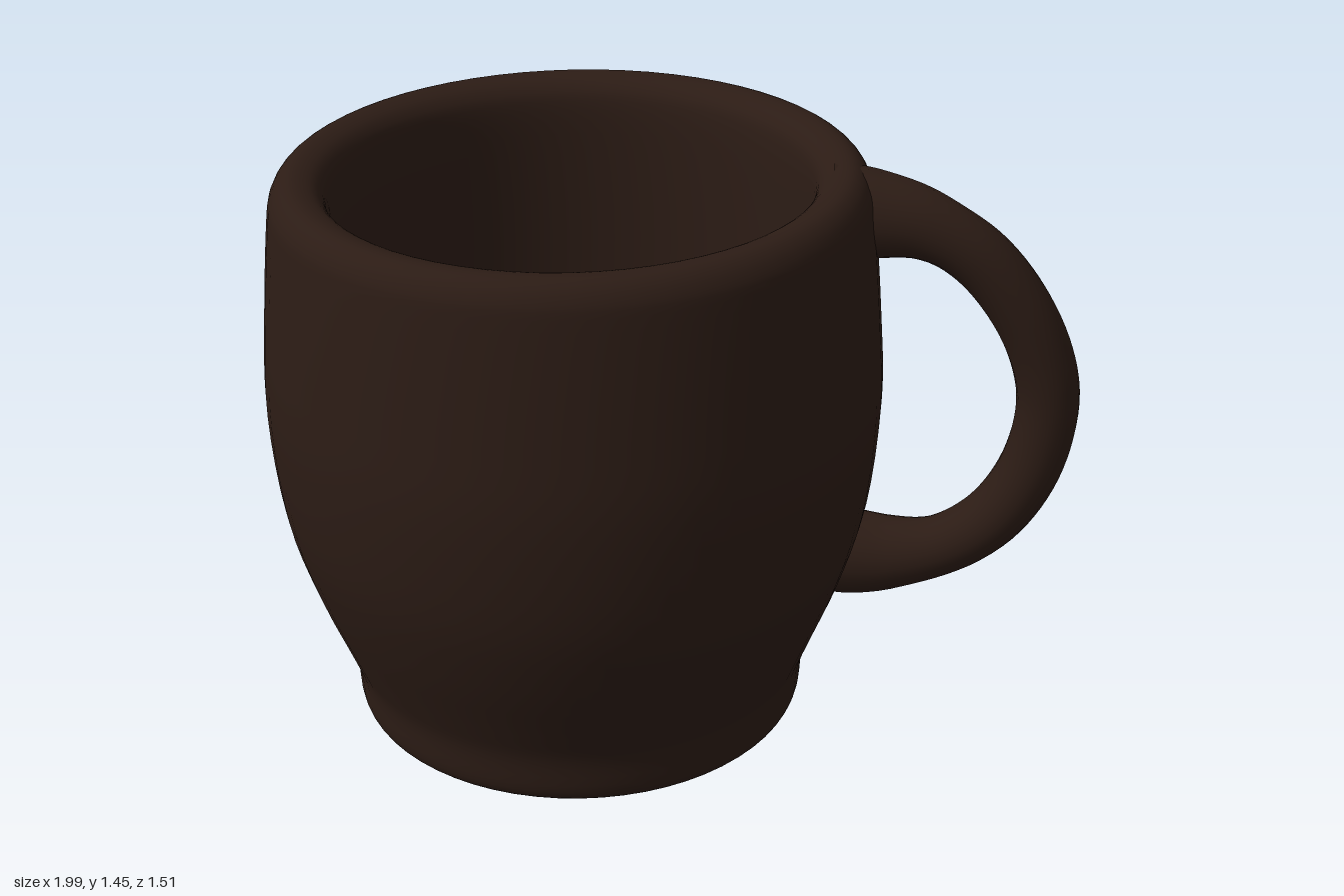
import * as THREE from 'three';

const CENTER_X = -0.24;
const pts = (list) => list.map(([x, y]) => new THREE.Vector2(x, y));

export function createModel() {
  const group = new THREE.Group();
  group.name = 'mug';
  const material = new THREE.MeshStandardMaterial({ color: 0x2c1c15 });

  // Body: outer wall from the foot up, over the thick rim, down to the inner floor
  const outline = new THREE.SplineCurve(pts([
    [0.5, 0.005], [0.545, 0.012], [0.568, 0.045], [0.578, 0.14], [0.61, 0.23], [0.675, 0.4],
    [0.73, 0.6], [0.755, 0.86], [0.745, 1.08], [0.722, 1.34], [0.708, 1.41], [0.675, 1.445],
    [0.635, 1.447], [0.597, 1.425], [0.578, 1.37], [0.575, 1.2], [0.58, 0.8], [0.575, 0.4],
    [0.568, 0.22], [0.545, 0.17], [0.5, 0.155],
  ])).getPoints(80);
  const profile = [new THREE.Vector2(0, 0.005), ...outline, new THREE.Vector2(0, 0.155)];
  const bodyGeometry = new THREE.LatheGeometry(profile, 64);

  // Slight hand-made unevenness of the rim, lifted where the handle joins
  const p = bodyGeometry.attributes.position;
  for (let i = 0; i < p.count; i++) {
    const x = p.getX(i), y = p.getY(i), z = p.getZ(i);
    const high = THREE.MathUtils.smoothstep(y, 0.9, 1.45);
    p.setY(i, y + 0.012 * x * high);
  }
  const body = new THREE.Mesh(bodyGeometry, material);
  body.name = 'body';
  body.position.x = CENTER_X;
  group.add(body);

  // Handle: round tube swelling where it meets the wall
  const path = new THREE.CatmullRomCurve3([
    [0.37, 1.345, -0.02], [0.47, 1.335, -0.02], [0.6, 1.31, -0.02], [0.73, 1.235, -0.015],
    [0.84, 1.1, -0.012], [0.905, 0.95, -0.015], [0.92, 0.83, -0.018], [0.885, 0.66, -0.02],
    [0.8, 0.52, -0.022], [0.68, 0.435, -0.025], [0.55, 0.405, -0.03], [0.45, 0.405, -0.03],
    [0.37, 0.415, -0.03],
  ].map((v) => new THREE.Vector3(...v)));
  const SEGMENTS = 64, SIDES = 20;
  const handleGeometry = new THREE.TubeGeometry(path, SEGMENTS, 1, SIDES);
  const h = handleGeometry.attributes.position;
  const v = new THREE.Vector3();
  for (let i = 0; i <= SEGMENTS; i++) {
    const t = i / SEGMENTS;
    const c = path.getPointAt(t);
    const end = Math.min(t, 1 - t);
    const radius = 0.077 + 0.033 * (1 - THREE.MathUtils.smoothstep(end, 0.03, 0.2));
    for (let j = 0; j <= SIDES; j++) {
      const k = i * (SIDES + 1) + j;
      v.fromBufferAttribute(h, k).sub(c).multiplyScalar(radius).add(c);
      h.setXYZ(k, v.x, v.y, v.z);
    }
  }
  const handle = new THREE.Mesh(handleGeometry, material);
  handle.name = 'handle';
  group.add(handle);

  return group;
}
